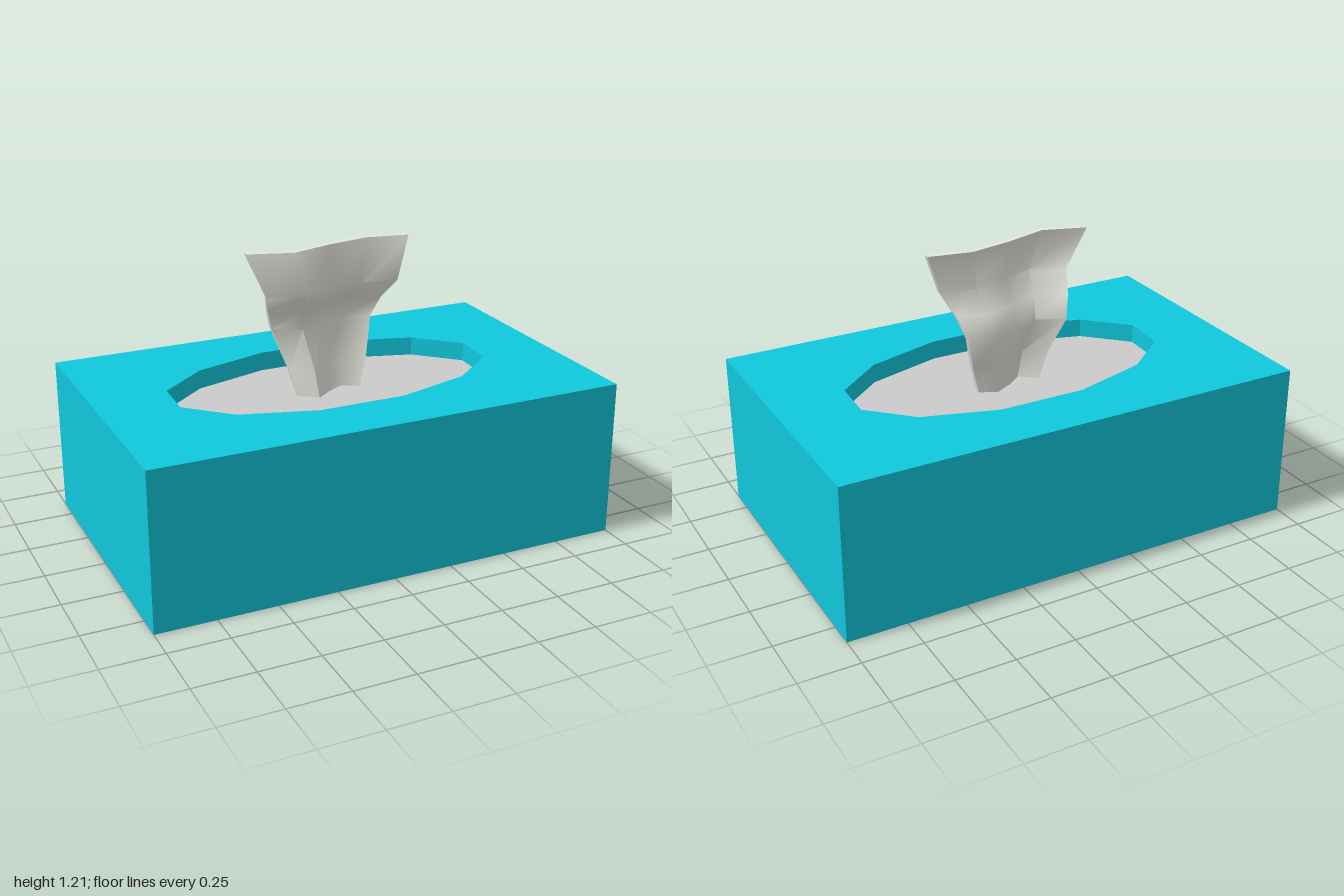
import * as THREE from 'three';
import { toCreasedNormals } from 'three/addons/utils/BufferGeometryUtils.js';

const WIDTH = 2, DEPTH = 1.22, HEIGHT = 0.66, FLOOR = 0.58;

// half of the twelve-sided opening; the other half is its point reflection
const HALF = [[0.69, 0.095], [0.52, 0.26], [0.21, 0.355], [-0.16, 0.355], [-0.48, 0.26], [-0.68, 0.095]];
const opening = [...HALF, ...HALF.map(([x, y]) => [-x, -y])].map(([x, y]) => new THREE.Vector2(x, y));

function mesh(name, geometry, color) {
  const m = new THREE.Mesh(geometry, new THREE.MeshStandardMaterial({ color }));
  m.name = name;
  return m;
}

// extrudes a plan shape upwards from y = bottom
function extrudeUp(shape, bottom, top) {
  return new THREE.ExtrudeGeometry(shape, { depth: top - bottom, bevelEnabled: false })
    .rotateX(-Math.PI / 2).translate(0, bottom, 0);
}

// wavy sheet: a thin segmented slab, each row flared and shifted, each column rippled
function sheetGeometry() {
  const rows = [ // height, half width, z shift
    [0.57, 0.14, 0.0], [0.7, 0.175, -0.013], [0.86, 0.225, -0.075], [0.95, 0.255, -0.035],
    [1.035, 0.29, 0.04], [1.21, 0.36, 0],
  ];
  const ripple = [-0.02, 0.038, -0.017, -0.053, -0.02];
  const n = rows.length - 1;
  const geometry = new THREE.BoxGeometry(4, n, 0.025, 4, n, 1);
  const p = geometry.attributes.position;
  for (let i = 0; i < p.count; i++) {
    const column = Math.round(p.getX(i) + 2);
    const [y, half, shift] = rows[Math.round(p.getY(i) + n / 2)];
    p.setXYZ(i, (column / 2 - 1) * half, y, p.getZ(i) + ripple[column] + shift);
  }
  return toCreasedNormals(geometry, Math.PI / 3);
}

export function createModel() {
  const group = new THREE.Group();
  group.name = 'tissueBox';
  const teal = 0x10c8dc;

  // carton with the opening cut through
  const plan = new THREE.Shape([[-1, -1], [1, -1], [1, 1], [-1, 1]]
    .map(([x, y]) => new THREE.Vector2(x * WIDTH / 2, y * DEPTH / 2)));
  plan.holes.push(new THREE.Path(opening));
  group.add(mesh('carton', extrudeUp(plan, 0, HEIGHT), teal));

  // closes the underside beneath the opening
  const base = new THREE.ShapeGeometry(new THREE.Shape(opening)).rotateX(Math.PI / 2).scale(1, 1, -1);
  base.index.array.reverse();
  base.computeVertexNormals();
  const baseMesh = mesh('base', base, teal);
  baseMesh.material.side = THREE.DoubleSide;
  group.add(baseMesh);

  // recessed filling
  group.add(mesh('recessFloor', extrudeUp(new THREE.Shape(opening), 0.02, FLOOR), 0xcccccc));

  // sheet pulled out of the opening
  group.add(mesh('tissueSheet', sheetGeometry(), 0xe6e6df));
  return group;
}
